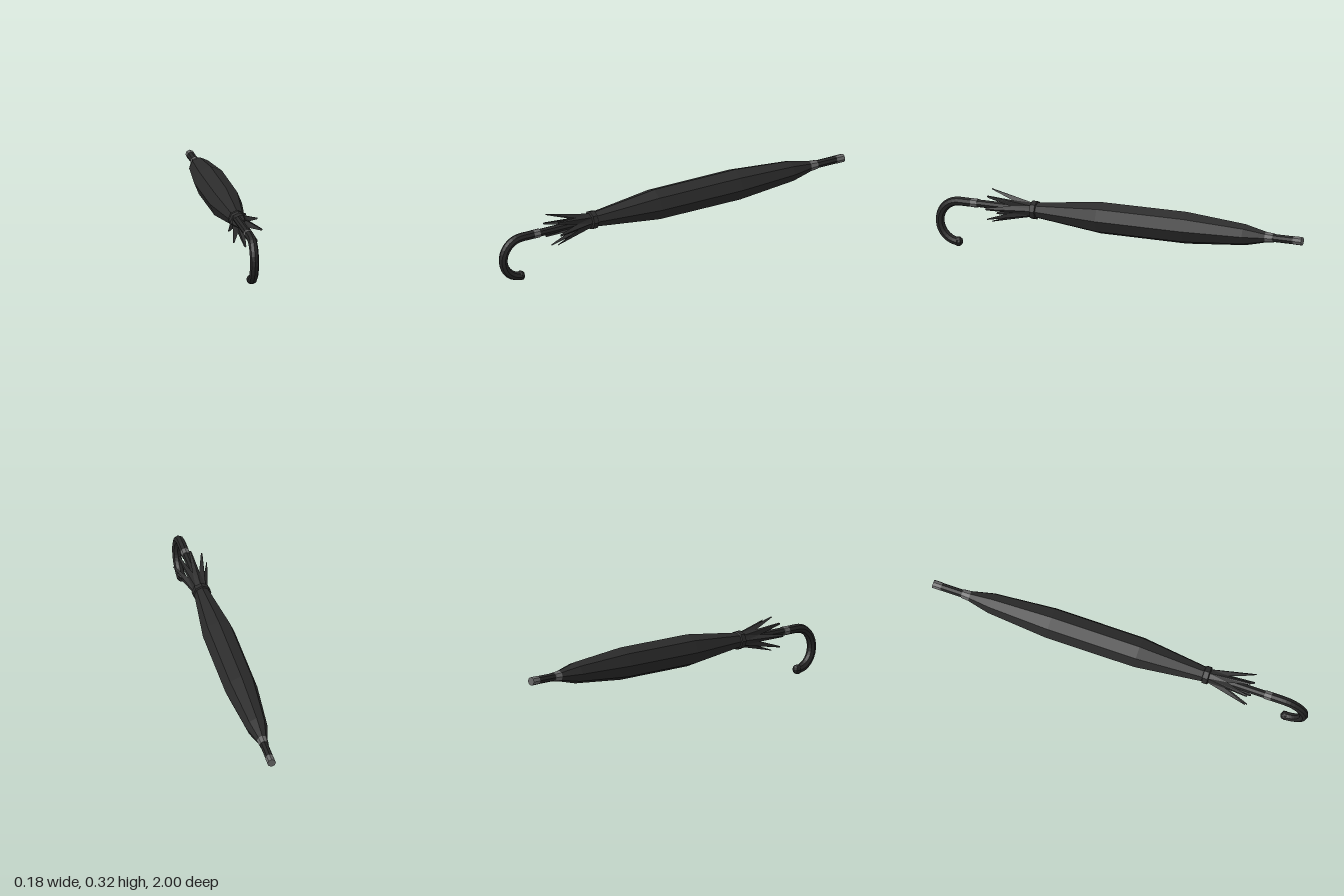
import * as THREE from 'three';

const AXIS_Y = 0.237;
const SIDES = 8;

const paint = (name, color, side = THREE.FrontSide) => {
  const m = new THREE.MeshStandardMaterial({ color, flatShading: true, side });
  m.name = name;
  return m;
};

export function createModel() {
  const group = new THREE.Group();
  group.name = 'closedUmbrella';
  const fabric = paint('blackFabric', 0x2b2b2b, THREE.DoubleSide);
  const dark = paint('darkHandle', 0x262626);
  const metal = paint('greyMetal', 0x696969);

  const add = (name, geometry, material) => {
    const mesh = new THREE.Mesh(geometry, material);
    mesh.name = name;
    group.add(mesh);
  };
  // Turned part along z, from [z, radius] pairs
  const turned = (name, profile, material) => {
    const g = new THREE.LatheGeometry(profile.map(([z, r]) => new THREE.Vector2(r, z)), SIDES);
    g.rotateX(Math.PI / 2).translate(0, AXIS_Y, 0);
    add(name, g, material);
  };
  const rod = (name, z0, z1, r, material) =>
    turned(name, [[z0, 0], [z0, r], [z1, r], [z1, 0]], material);

  // Furled canopy
  turned('canopy', [[-0.81, 0.026], [-0.77, 0.036], [-0.69, 0.055], [-0.37, 0.083],
    [0.1, 0.082], [0.44, 0.041], [0.48, 0.036]], fabric);

  // Strap that ties the canopy
  turned('strap', [[0.442, 0.036], [0.447, 0.048], [0.473, 0.048], [0.478, 0.034]], fabric);

  // Flared hem: eight blunt points with notches between them
  const pos = [];
  const at = (angle, r, z) => [Math.sin(angle) * r, AXIS_Y + Math.cos(angle) * r, z];
  const step = (Math.PI * 2) / SIDES;
  for (let i = 0; i < SIDES; i++) {
    const a = i * step;
    for (const s of [-1, 1]) {
      const base = at(a, 0.036, 0.47);
      const baseMid = at(a + s * step / 2, 0.033, 0.47);
      const notch = at(a + s * step / 2, 0.046, 0.575);
      const tip = at(a, 0.088, 0.695);
      const tipSide = at(a + s * 0.07, 0.084, 0.692);
      const tris = [[base, baseMid, notch], [base, notch, tipSide], [base, tipSide, tip]];
      for (const [p, q, r] of tris) pos.push(...(s > 0 ? [...p, ...r, ...q] : [...p, ...q, ...r]));
    }
  }
  const hem = new THREE.BufferGeometry();
  hem.setAttribute('position', new THREE.Float32BufferAttribute(pos, 3));
  hem.computeVertexNormals();
  add('flaredHem', hem, fabric);

  // Shaft, ferrule and metal fittings
  rod('shaft', -0.8, 0.78, 0.02, dark);
  rod('ferrule', -0.96, -0.8, 0.021, dark);
  rod('ferruleCap', -1, -0.955, 0.022, metal);
  turned('canopyRing', [[-0.845, 0], [-0.845, 0.024], [-0.8, 0.028], [-0.79, 0.0]], metal);
  rod('handleRing', 0.77, 0.805, 0.0235, metal);

  // Crook handle
  const bend = 0.106, cz = 0.871;
  const points = [new THREE.Vector3(0, AXIS_Y, 0.8), new THREE.Vector3(0, AXIS_Y, 0.835)];
  for (let i = 0; i <= 12; i++) {
    const t = (i / 12) * Math.PI * 1.02;
    points.push(new THREE.Vector3(0, AXIS_Y - bend + Math.cos(t) * bend, cz + Math.sin(t) * bend));
  }
  add('crookHandle', new THREE.TubeGeometry(new THREE.CatmullRomCurve3(points), 20, 0.023, SIDES), dark);

  // Rounded handle end
  const end = new THREE.SphereGeometry(0.0245, SIDES, 6);
  end.translate(0, points.at(-1).y + 0.001, points.at(-1).z + 0.012);
  add('handleEnd', end, dark);

  return group;
}
